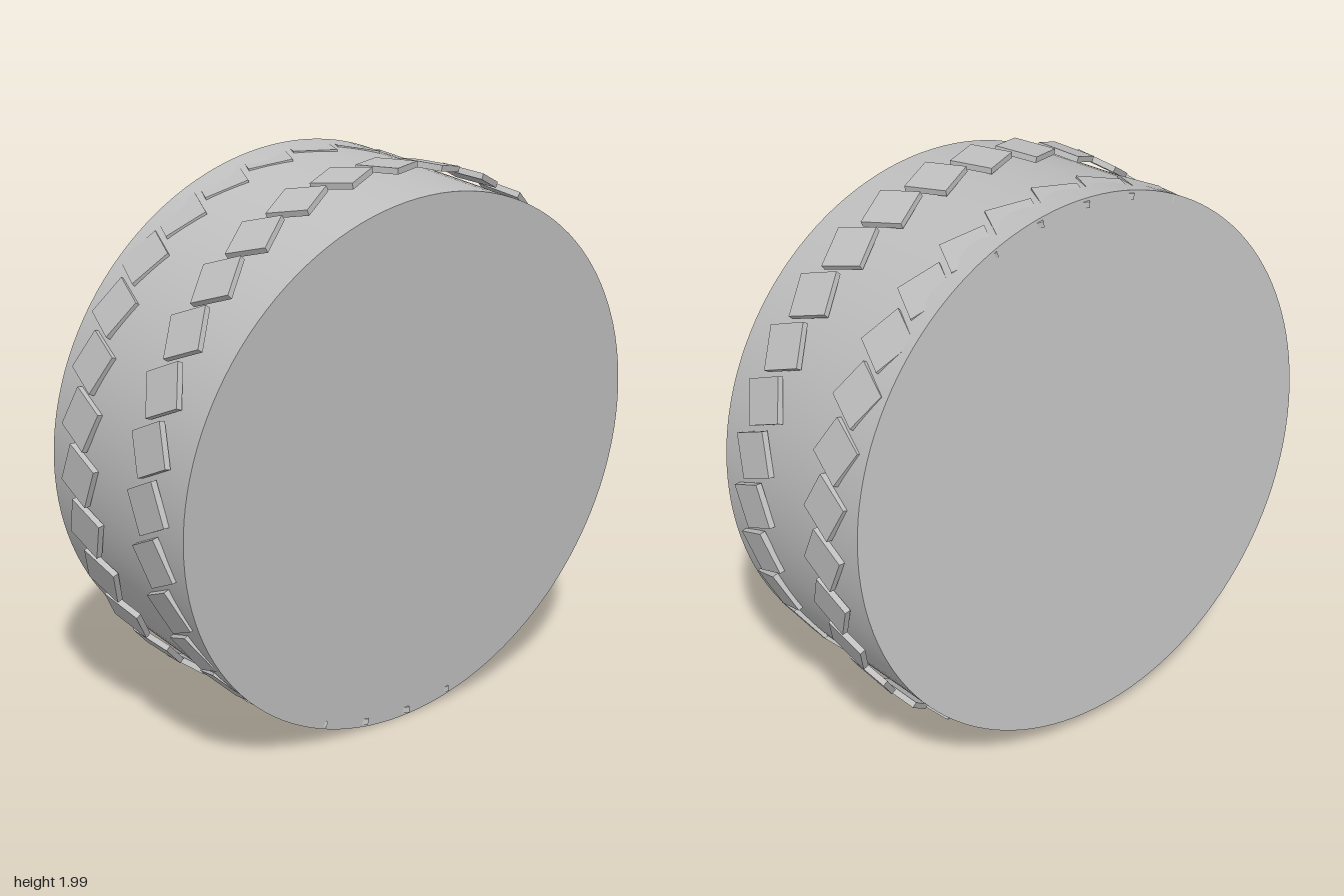
import * as THREE from 'three';

export function createModel() {
  const model = new THREE.Group();
  model.name = 'wheel';
  const grey = new THREE.MeshStandardMaterial({ color: 0xbfbfbf });
  grey.name = 'grey';

  // Solid drum, its axis tipped slightly down towards +x
  const drum = new THREE.Mesh(new THREE.CylinderGeometry(0.965, 0.965, 0.77, 128), grey);
  drum.name = 'drum';
  drum.position.y = 1;
  drum.rotation.z = -Math.PI / 2 - 0.0935;
  model.add(drum);

  // Two upright rings of thin square blocks, turned to form a V tread
  const count = 32;
  const blockGeometry = new THREE.BoxGeometry(0.154, 0.154, 0.021);
  for (const side of [-1, 1]) {
    const row = new THREE.Group();
    row.name = side > 0 ? 'leftTreadRow' : 'rightTreadRow';
    row.position.set(side * 0.203, 1, 0);
    for (let i = 0; i < count; i++) {
      const spoke = new THREE.Group();
      spoke.name = 'treadBlockPivot';
      spoke.rotation.x = (i / count) * Math.PI * 2;
      const block = new THREE.Mesh(blockGeometry, grey);
      block.name = 'treadBlock';
      block.position.z = 0.975;
      block.rotation.z = side * 0.436;
      spoke.add(block);
      row.add(spoke);
    }
    model.add(row);
  }
  return model;
}
